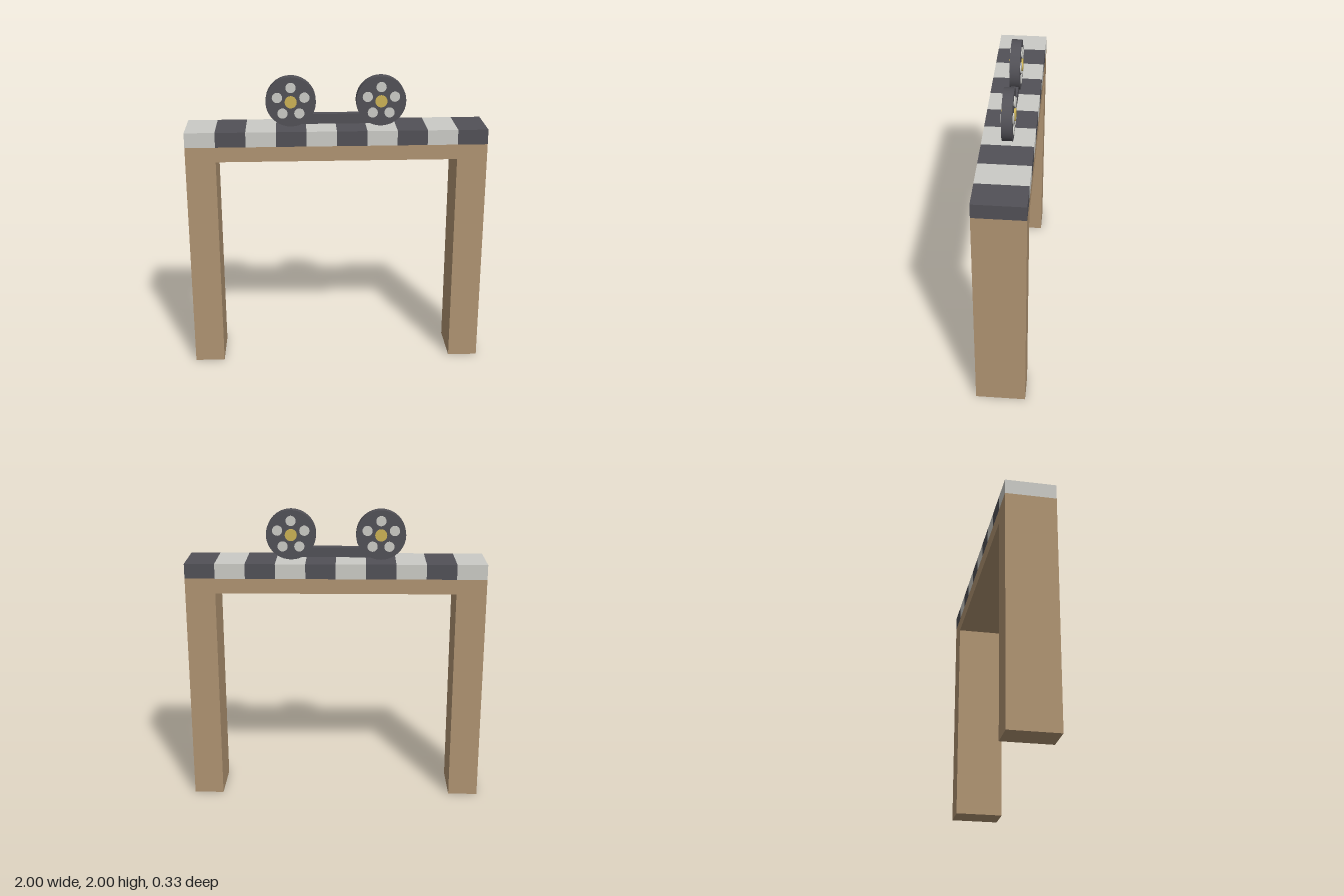
import * as THREE from 'three';

const paint = (name, color) => {
  const m = new THREE.MeshStandardMaterial({ color });
  m.name = name;
  return m;
};

export function createModel() {
  const wood = paint('wood', 0xb09472);
  const light = paint('light grey', 0xcbcbc6);
  const dark = paint('charcoal', 0x525157);
  const gold = paint('gold', 0xccb255);
  const model = new THREE.Group();
  model.name = 'filmArch';

  const add = (parent, name, geometry, material, x = 0, y = 0, z = 0) => {
    const mesh = new THREE.Mesh(geometry, material);
    mesh.name = name;
    mesh.position.set(x, y, z);
    parent.add(mesh);
    return mesh;
  };
  // Cylinder whose axis runs along z
  const disc = (r, depth, sides) => new THREE.CylinderGeometry(r, r, depth, sides).rotateX(Math.PI / 2);

  const depth = 0.333;

  // Wooden arch: two legs and a lintel in one piece
  const outline = new THREE.Shape([
    [-1, 0], [-0.8, 0], [-0.8, 1.467], [0.8, 1.467],
    [0.8, 0], [1, 0], [1, 1.567], [-1, 1.567],
  ].map(([x, y]) => new THREE.Vector2(x, y)));
  const arch = new THREE.ExtrudeGeometry(outline, { depth, bevelEnabled: false });
  add(model, 'arch', arch.translate(0, 0, -depth / 2), wood);

  // Striped top board
  const stripe = new THREE.BoxGeometry(0.2, 0.1, depth);
  for (let i = 0; i < 10; i++) {
    add(model, 'stripe', stripe, i % 2 ? dark : light, -0.9 + i * 0.2, 1.617);
  }

  // Film strip running between the reels
  add(model, 'filmStrip', new THREE.BoxGeometry(0.6, 0.067, 0.05), dark, 0, 1.716);

  // Reels with five pale spots and a gold hub on both faces
  for (const x of [-0.3, 0.3]) {
    const reel = new THREE.Group();
    reel.name = 'reel';
    reel.position.set(x, 1.8345, 0);
    add(reel, 'reelDisc', disc(0.1665, 0.067, 40), dark);
    add(reel, 'hub', disc(0.04, 0.09, 24), gold);
    for (let i = 0; i < 5; i++) {
      const a = Math.PI / 2 + (i * Math.PI * 2) / 5;
      add(reel, 'spot', disc(0.034, 0.08, 20), light, Math.cos(a) * 0.095, Math.sin(a) * 0.095);
    }
    model.add(reel);
  }
  return model;
}
